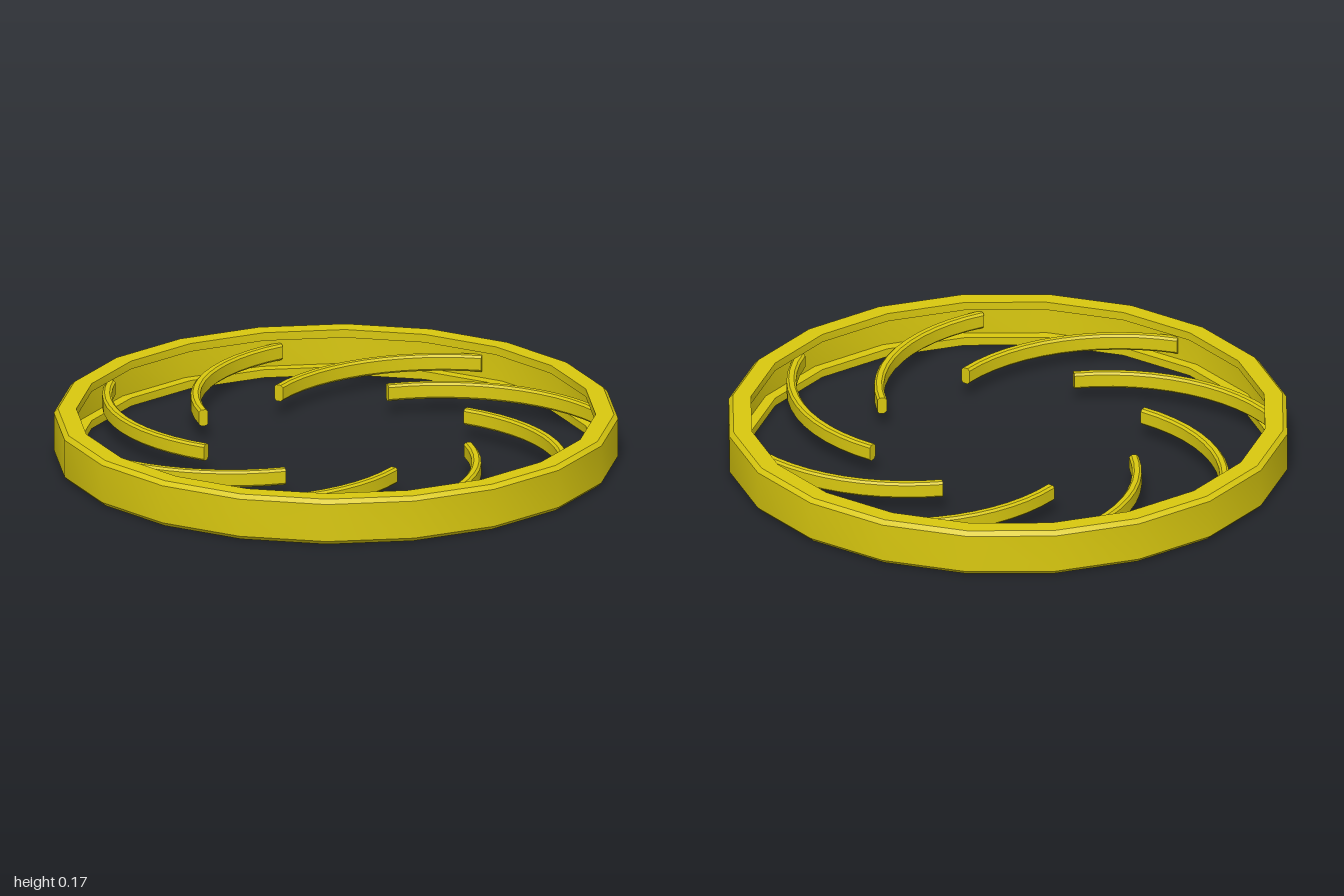
import * as THREE from 'three';
import { toCreasedNormals } from 'three/addons/utils/BufferGeometryUtils.js';

const rad = THREE.MathUtils.degToRad;
const HEIGHT = 0.168;
const VANES = 8;

// Lathe of a closed [radius, y] outline, counter-clockwise, with crisp edges
function ringSweep(outline, segments, start = 0, length = Math.PI * 2) {
  const pts = [...outline, outline[0]].map(([r, y]) => new THREE.Vector2(r, y));
  return toCreasedNormals(new THREE.LatheGeometry(pts, segments, start, length), 0.5);
}

// Chamfered rectangle outline around (cx, cy)
function chamferedRect(cx, cy, w, h, c) {
  const x = w / 2, y = h / 2;
  return [
    [x - c, -y], [x, -y + c], [x, y - c], [x - c, y],
    [-x + c, y], [-x, y - c], [-x, -y + c], [-x + c, -y],
  ].map(([a, b]) => [cx + a, cy + b]);
}

export function createModel() {
  const model = new THREE.Group();
  model.name = 'vanedRing';
  const yellow = new THREE.MeshStandardMaterial({ color: 0xd9c80f });
  const yellowDouble = new THREE.MeshStandardMaterial({ color: 0xd9c80f, side: THREE.DoubleSide });

  // Twenty-sided rim: chamfered outside, channel with two lips inside
  const H = HEIGHT, lip = 0.03, c = 0.015;
  const rim = new THREE.Mesh(ringSweep([
    [1 - c, 0], [1, c], [1, H - c], [1 - c, H],
    [0.92, H], [0.92, H - lip], [0.958, H - lip],
    [0.958, lip], [0.92, lip], [0.92, 0],
  ], 20), yellow);
  rim.name = 'rim';
  rim.rotation.y = rad(1);
  model.add(rim);

  // Curved vanes: chamfered bars bent along an arc, closed at both ends
  const arcRadius = 0.661, start = rad(108), end = rad(182);
  const section = chamferedRect(arcRadius, H / 2, 0.034, 0.06, 0.008);
  const barGeometry = ringSweep(section, 12, start, end - start);
  const capGeometry = new THREE.ShapeGeometry(
    new THREE.Shape(section.map(([x, y]) => new THREE.Vector2(x, y))));

  for (let i = 0; i < VANES; i++) {
    const vane = new THREE.Group();
    vane.name = 'vane' + (i + 1);
    vane.rotation.y = (i / VANES) * Math.PI * 2;
    const bar = new THREE.Group();
    bar.name = 'vaneArc';
    bar.position.set(0.32, 0, 0.255);
    const body = new THREE.Mesh(barGeometry, yellow);
    body.name = 'vaneBar';
    bar.add(body);
    for (const [name, phi] of [['vaneRoot', start], ['vaneTip', end]]) {
      const cap = new THREE.Mesh(capGeometry, yellowDouble);
      cap.name = name;
      cap.rotation.y = phi - Math.PI / 2;
      bar.add(cap);
    }
    vane.add(bar);
    model.add(vane);
  }
  return model;
}
